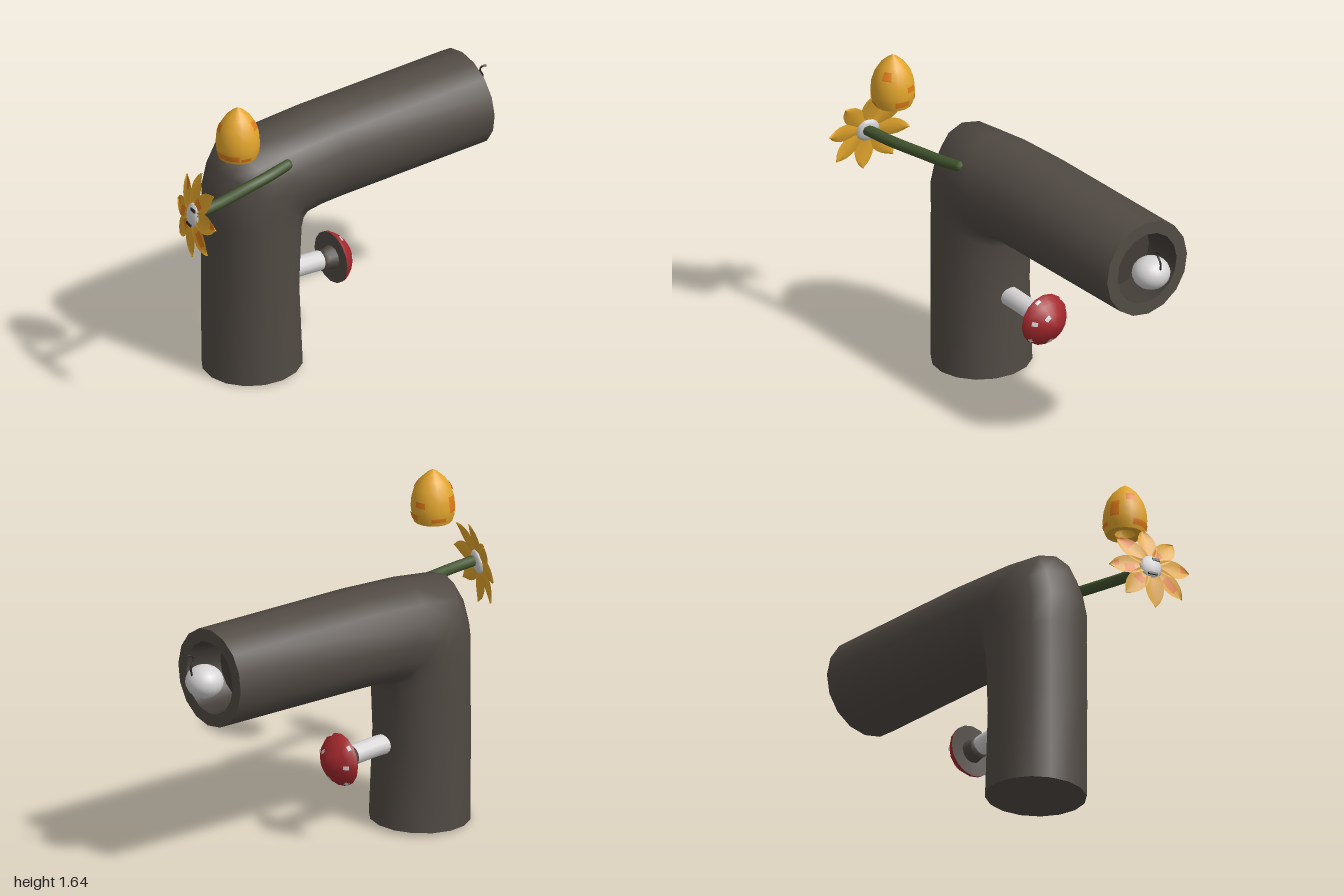
import * as THREE from 'three';

const mat = (name, color) => {
  const m = new THREE.MeshStandardMaterial({ color });
  m.name = name;
  return m;
};

export function createModel() {
  const root = new THREE.Group();
  const bark = mat('dark bark', 0x514a44);
  const hollowMat = mat('hollow brown', 0x433d38);
  const yellow = mat('petal yellow', 0xe2a52c);
  const orange = mat('blotch orange', 0xe07a18);
  const white = mat('soft white', 0xd6d4d4);
  const red = mat('cap red', 0xa3282d);
  const green = mat('stem green', 0x42542e);
  const black = mat('wick black', 0x2b2a28);
  yellow.side = orange.side = THREE.DoubleSide;

  const add = (parent, name, geo, material) => {
    const mesh = new THREE.Mesh(geo, material);
    mesh.name = name;
    parent.add(mesh);
    return mesh;
  };
  const group = (name) => {
    const g = new THREE.Group();
    g.name = name;
    root.add(g);
    return g;
  };
  const v3 = (x, y, z) => new THREE.Vector3(x, y, z);

  // Skin closed rings; each ring is [outer z, outer y, inner z, inner y, scale]
  const CX = -0.12, RX = 0.247, SIDES = 16;
  function loft(rings) {
    const pos = [], idx = [];
    rings.forEach(([oz, oy, iz, iy, k = 1], i) => {
      for (let j = 0; j < SIDES; j++) {
        const a = (j / SIDES) * Math.PI * 2, c = Math.cos(a) * k / 2;
        pos.push(CX + RX * k * Math.sin(a), (oy + iy) / 2 + (oy - iy) * c, (oz + iz) / 2 + (oz - iz) * c);
        if (i === 0) continue;
        const n = (j + 1) % SIDES, p = (i - 1) * SIDES, q = i * SIDES;
        idx.push(p + j, p + n, q + n, p + j, q + n, q + j);
      }
    });
    const g = new THREE.BufferGeometry();
    g.setAttribute('position', new THREE.Float32BufferAttribute(pos, 3));
    g.setIndex(idx);
    g.computeVertexNormals();
    return g;
  }

  // Bent hollow log
  const log = group('log');
  const foot = [0.655, 0, 0.16, 0.02], end = [-0.865, 1.29, -0.885, 0.8];
  add(log, 'logBody', loft([
    foot, [0.655, 0.5, 0.185, 0.45], [0.652, 0.85, 0.175, 0.63], [0.655, 1.0, 0.168, 0.73],
    [0.62, 1.13, 0.16, 0.765], [0.56, 1.235, 0.14, 0.777], [0.33, 1.265, 0.08, 0.787],
    [0, 1.282, 0, 0.79], end,
  ]), bark);
  add(log, 'logBase', loft([[...foot, 0.001], foot]), bark);
  add(log, 'logRim', loft([end, [...end, 0.74]]), bark);
  const deep = [-0.68, 1.29, -0.68, 0.8];
  add(log, 'logHollow', loft([[...end, 0.74], [...deep, 0.68]]), hollowMat);
  add(log, 'logHollowBack', loft([[...deep, 0.68], [...deep, 0.001]]), hollowMat);

  // Round white berry with a hooked wick in the hollow end
  const berry = group('berry');
  const ball = add(berry, 'berryBall', new THREE.SphereGeometry(0.094, 20, 14), white);
  ball.scale.y = 0.87;
  ball.position.set(CX, 1.036, -0.906);
  const wick = new THREE.CatmullRomCurve3([
    v3(-0.12, 1.06, -0.975), v3(-0.115, 1.12, -0.985), v3(-0.11, 1.165, -0.965),
    v3(-0.105, 1.182, -0.975), v3(-0.1, 1.18, -0.996),
  ]);
  add(berry, 'berryWick', new THREE.TubeGeometry(wick, 12, 0.005, 5), black);

  // Lathe helpers: full turn, and a thin patch lying on a turned surface
  const lathe = (pts, n) => new THREE.LatheGeometry(pts.map(([r, y]) => new THREE.Vector2(r, y)), n);
  function patch(profile, y0, y1, phi, len) {
    const at = (y) => {
      const i = Math.max(1, profile.findIndex((p) => p[1] >= y));
      const [r0, a] = profile[i - 1], [r1, b] = profile[i];
      return [r0 + (r1 - r0) * (y - a) / (b - a), y];
    };
    const pts = [at(y0), ...profile.filter((p) => p[1] > y0 && p[1] < y1), at(y1)];
    return new THREE.LatheGeometry(pts.map(([r, y]) => new THREE.Vector2(r + 0.003, y + 0.002)), 5, phi, len);
  }

  // Mushroom growing sideways from the inner face of the trunk
  const mushroom = group('mushroom');
  const stalk = new THREE.CatmullRomCurve3([
    v3(CX, 0.43, 0.26), v3(CX, 0.438, 0.18), v3(CX, 0.435, 0.09), v3(CX, 0.428, 0),
  ]);
  add(mushroom, 'mushroomStalk', new THREE.TubeGeometry(stalk, 8, 0.05, 12), white);
  const head = new THREE.Group();
  head.name = 'mushroomHead';
  head.rotation.x = -Math.PI / 2;
  head.position.set(CX, 0.422, 0);
  mushroom.add(head);
  const cap = [[0.132, 0.07], [0.128, 0.09], [0.103, 0.122], [0.06, 0.153], [0.025, 0.168], [0, 0.172]];
  add(head, 'mushroomCap', lathe(cap, 16), red);
  add(head, 'mushroomNeck', lathe([[0, 0], [0.05, 0], [0.05, 0.03], [0.06, 0.075]], 12), bark);
  add(head, 'mushroomGills', lathe([[0.05, 0.075], [0.132, 0.07]], 16), bark);
  for (const [y0, y1, phi, len] of [
    [0.085, 0.1, 0.3, 0.22], [0.115, 0.135, 1.2, 0.22], [0.09, 0.105, 2.1, 0.2], [0.125, 0.145, 2.9, 0.3],
    [0.088, 0.105, 3.7, 0.22], [0.11, 0.13, 4.6, 0.2], [0.085, 0.1, 5.4, 0.2], [0.148, 0.158, 0.4, 0.5],
  ]) add(head, 'mushroomSpot', patch(cap, y0, y1, phi, len), white);

  // Flower stem
  const flower = group('flower');
  const stem = new THREE.CatmullRomCurve3([
    v3(0.07, 1.152, 0.34), v3(0.088, 1.14, 0.45), v3(0.1, 1.125, 0.6), v3(0.135, 1.12, 0.8), v3(0.152, 1.12, 0.955),
  ]);
  add(flower, 'flowerStem', new THREE.TubeGeometry(stem, 20, 0.028, 8), green);
  const tip = add(flower, 'flowerStemRoot', new THREE.SphereGeometry(0.028, 8, 6), green);
  tip.position.set(0.07, 1.152, 0.34);

  // Flower head: eight bent petals, each a plane reshaped along t (length) and s (width)
  const bloom = new THREE.Group();
  bloom.name = 'flowerHead';
  bloom.position.set(0.142, 1.113, 0.962);
  bloom.rotation.set(-0.16, -0.22, 0);
  flower.add(bloom);
  function petal(t0, t1, s0, s1, lift) {
    const g = new THREE.PlaneGeometry(1, 1, 4, 8), p = g.attributes.position;
    for (let i = 0; i < p.count; i++) {
      const s = s0 + (s1 - s0) * (p.getX(i) + 0.5), t = t0 + (t1 - t0) * (p.getY(i) + 0.5);
      const w = 0.05 * Math.pow(Math.sin(Math.PI * (0.12 + 0.88 * Math.pow(t, 1.25))), 0.75);
      p.setXYZ(i, s * w, 0.02 + 0.198 * t, 0.008 * s * s - 0.025 * t * t + lift);
    }
    g.computeVertexNormals();
    return g;
  }
  const turn = (i) => i * Math.PI / 4 + 0.05;
  for (let i = 0; i < 8; i++) add(bloom, 'petal', petal(0, 0.999, -1, 1, 0), yellow).rotation.z = turn(i);
  for (const [i, t0, t1, s0, s1] of [
    [1, 0.6, 0.95, -0.2, 0.95], [2, 0.35, 0.62, -0.9, 0.1], [2, 0.75, 0.88, -0.2, 0.7],
    [3, 0.3, 0.5, -0.6, 0.5], [5, 0.35, 0.75, -0.5, 0.5], [6, 0.75, 0.92, -0.8, 0.2], [7, 0.2, 0.4, -0.9, 0.2],
  ]) add(bloom, 'petalBlotch', petal(t0, t1, s0, s1, 0.003), orange).rotation.z = turn(i);
  const eye = add(bloom, 'flowerCentre', new THREE.SphereGeometry(0.062, 8, 8), white);
  eye.scale.z = 0.35;
  for (const [x, y, w, h] of [[0.022, 0.035, 0.04, 0.014], [-0.002, -0.047, 0.05, 0.012]]) {
    const fleck = add(bloom, 'centreFleck', new THREE.BoxGeometry(w, h, 0.008), black);
    fleck.position.set(x, y, 0.016);
  }

  // Floating bud, open underneath
  const bud = group('bud');
  bud.position.set(0.18, 0, 0.72);
  const shell = [
    [0.094, 1.38], [0.104, 1.41], [0.109, 1.45], [0.105, 1.5], [0.09, 1.55], [0.062, 1.595], [0.028, 1.627], [0, 1.645],
  ];
  add(bud, 'budShell', lathe(shell, 16), yellow);
  add(bud, 'budUnderside', lathe([[0.05, 1.385], [0.094, 1.38]], 16), yellow);
  add(bud, 'budInside', lathe([[0, 1.47], [0.05, 1.44], [0.05, 1.385]], 16), yellow);
  for (const [y0, y1, phi, len] of [
    [1.395, 1.425, -0.3, 1.3], [1.39, 1.41, 1.1, 0.5], [1.44, 1.52, -1.4, 0.45], [1.525, 1.565, -0.65, 0.5],
    [1.54, 1.58, 1.9, 0.5], [1.4, 1.43, 2.6, 0.7], [1.47, 1.5, 3.2, 0.5], [1.4, 1.42, 4, 0.7],
  ]) add(bud, 'budBlotch', patch(shell, y0, y1, phi, len), orange);

  return root;
}
